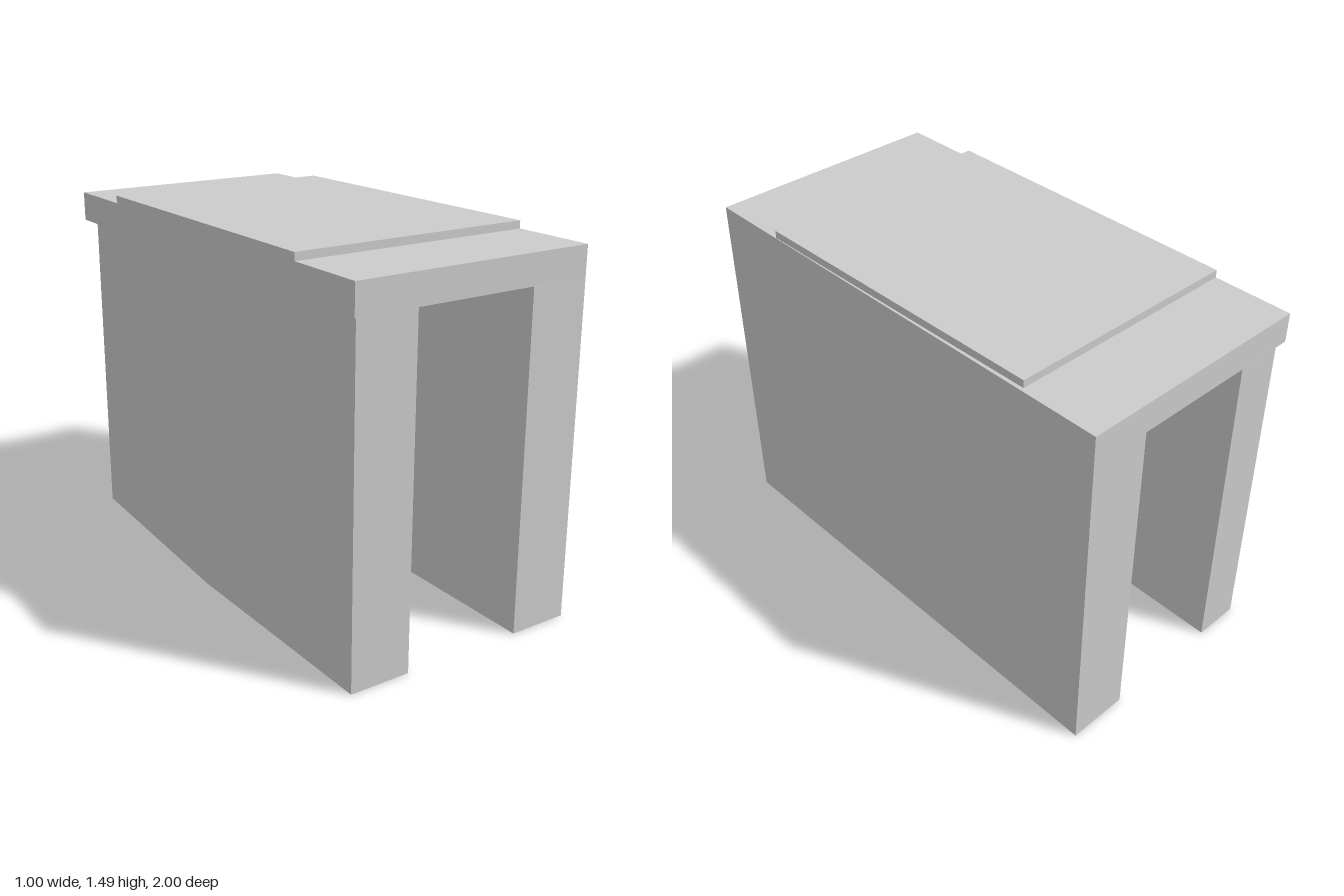
import * as THREE from 'three';

const material = new THREE.MeshStandardMaterial({ color: 0xcccccc, flatShading: true });

// Upright prism from a plan outline of [x, z] corners, between two heights
function prism(name, plan, bottom, top) {
  const shape = new THREE.Shape(plan.map(([x, z]) => new THREE.Vector2(x, -z)));
  const geometry = new THREE.ExtrudeGeometry(shape, { depth: top - bottom, bevelEnabled: false });
  geometry.rotateX(-Math.PI / 2).translate(0, bottom, 0);
  const mesh = new THREE.Mesh(geometry, material);
  mesh.name = name;
  return mesh;
}

export function createModel() {
  const model = new THREE.Group();
  model.name = 'archBlock';

  const legTop = 1.335, deckTop = 1.454, plateTop = 1.485;

  // Straight wall on the +x side
  model.add(prism('leftWall',
    [[0.25, 1], [0.498, 1], [0.498, -0.995], [0.25, -0.996]], 0, legTop));

  // Wall on the -x side, its outer face bending inward toward the back
  model.add(prism('rightWall',
    [[-0.498, 0.992], [-0.25, 0.994], [-0.25, -0.999], [-0.44, -1], [-0.499, 0]], 0, legTop));

  // Slightly skewed deck bridging both walls
  model.add(prism('deck',
    [[-0.503, 0.992], [0.498, 1], [0.498, -0.995], [-0.496, -1]], legTop, deckTop));

  // Thin raised plate on the deck
  model.add(prism('topPlate',
    [[-0.503, 0.657], [0.495, 0.663], [0.483, -0.667], [-0.497, -0.673]], deckTop, plateTop));

  return model;
}
